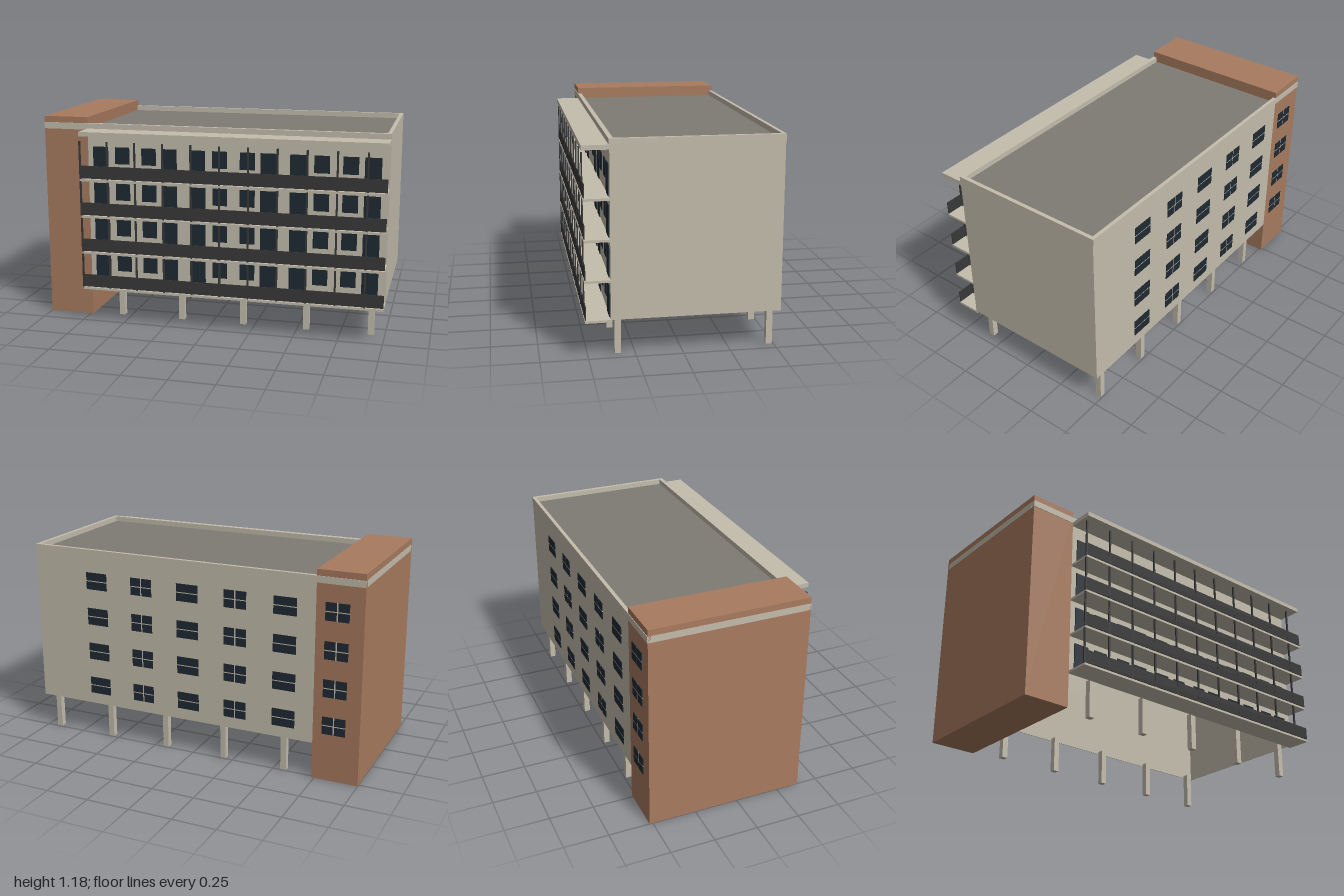
import * as THREE from 'three';

function mat(name, color, side = THREE.FrontSide) {
  const m = new THREE.MeshStandardMaterial({ color, side });
  m.name = name;
  return m;
}

export function createModel() {
  const model = new THREE.Group();
  model.name = 'apartmentBlock';

  const concrete = mat('concrete', 0xc4bdad);
  const brick = mat('brick', 0xa87b5f);
  const roofGrey = mat('roofGrey', 0x7e7b73);
  const glass = mat('darkGlass', 0x1f2a33);
  const metal = mat('railingMetal', 0x383838);

  // Box given by its minimum and maximum corners
  function box(parent, name, material, x0, x1, y0, y1, z0, z1) {
    const mesh = new THREE.Mesh(new THREE.BoxGeometry(x1 - x0, y1 - y0, z1 - z0), material);
    mesh.position.set((x0 + x1) / 2, (y0 + y1) / 2, (z0 + z1) / 2);
    mesh.name = name;
    parent.add(mesh);
    return mesh;
  }
  function group(name) {
    const g = new THREE.Group();
    g.name = name;
    model.add(g);
    return g;
  }

  const FRONT = 0.382, BACK = -0.518, INNER = -0.735, T = 0.004;
  const BASE = 0.208, PITCH = 0.2137, FLOORS = 4;

  // Stair tower
  box(model, 'stairTower', brick, -1, INNER, 0, 1.185, BACK, FRONT);

  // Hollow main block, open underneath
  const block = group('mainBlock');
  box(block, 'frontWall', concrete, INNER, 1, BASE, 1.13, FRONT - T, FRONT);
  box(block, 'backWall', concrete, INNER, 1, BASE, 1.13, BACK, BACK + T);
  box(block, 'endWall', concrete, 1 - T, 1, BASE, 1.13, BACK + T, FRONT - T);
  box(block, 'roof', roofGrey, INNER, 0.99, 1.11, 1.12, BACK + 0.005, FRONT - 0.005);

  // Parapet, wrapping round the tower as a band
  const parapet = group('parapet');
  box(parapet, 'parapetFront', concrete, -1, 1, 1.113, 1.15, FRONT - 0.022, FRONT + 0.003);
  box(parapet, 'parapetBack', concrete, -1, 1, 1.113, 1.15, BACK - 0.003, BACK + 0.018);
  box(parapet, 'parapetEnd', concrete, 0.978, 1, 1.113, 1.15, BACK + 0.018, FRONT - 0.022);
  box(parapet, 'parapetTowerEnd', concrete, -1.001, -0.98, 1.113, 1.15, BACK + 0.018, FRONT - 0.022);

  // Ground-floor columns
  const columns = group('columns');
  for (let i = 0; i < 5; i++) {
    const x = -0.558 + i * 0.37;
    for (const z of [0.34, -0.475]) {
      box(columns, 'column', concrete, x - 0.017, x + 0.017, 0, BASE + 0.004, z - 0.017, z + 0.017);
    }
  }

  // Balcony canopy
  box(model, 'canopy', concrete, INNER, 1, 1.095, 1.12, FRONT, 0.523);

  const balconies = group('balconies');
  const facade = group('facadeOpenings');
  const rear = group('rearWindows');
  for (let f = 0; f < FLOORS; f++) {
    const y = BASE + f * PITCH;

    // Slab, railing and posts
    box(balconies, 'balconySlab', concrete, INNER, 1, y - 0.013, y, FRONT - T - 0.003, 0.517);
    box(balconies, 'railing', metal, INNER, 1, y + 0.004, y + 0.077, 0.51, 0.515);
    for (let i = 0; i < 11; i++) {
      const x = -0.735 + i * 0.163;
      const top = f === FLOORS - 1 ? y + 0.218 : y + PITCH - 0.013;
      box(balconies, 'post', metal, x - 0.005, x + 0.005, y, top, 0.508, 0.516);
    }

    // Doors and windows in mirrored sets: door, window, window, door
    for (let s = 0; s < 3; s++) {
      const x = -0.454 + s * 0.578;
      for (const [dx, bottom] of [[-0.204, 0], [-0.073, 0.07], [0.086, 0.07], [0.207, 0]]) {
        const w = bottom ? 0.043 : 0.046;
        box(facade, bottom ? 'balconyWindow' : 'balconyDoor', glass,
          x + dx - w, x + dx + w, y + bottom, y + 0.168, FRONT, FRONT + 0.004);
      }
    }

    // Rear windows, alternating two-pane and four-pane
    for (let i = 0; i < 6; i++) {
      const x = 0.597 - i * 0.29, cy = y + 0.116;
      const gap = i % 2 ? 0.004 : 0;
      for (const s of [-1, 1]) {
        const y0 = s < 0 ? cy - 0.05 : cy + 0.003;
        const y1 = s < 0 ? cy - 0.003 : cy + 0.05;
        const spans = gap ? [[x - 0.066, x - gap], [x + gap, x + 0.066]] : [[x - 0.066, x + 0.066]];
        for (const [a, b] of spans) box(rear, 'windowPane', glass, a, b, y0, y1, BACK - 0.004, BACK);
      }
      // Glazing bars
      box(rear, 'glazingBar', concrete, x - 0.066, x + 0.066, cy - 0.003, cy + 0.003, BACK - 0.003, BACK);
      if (gap) box(rear, 'glazingBar', concrete, x - gap, x + gap, cy - 0.05, cy + 0.05, BACK - 0.002, BACK);
    }
  }

  return model;
}
